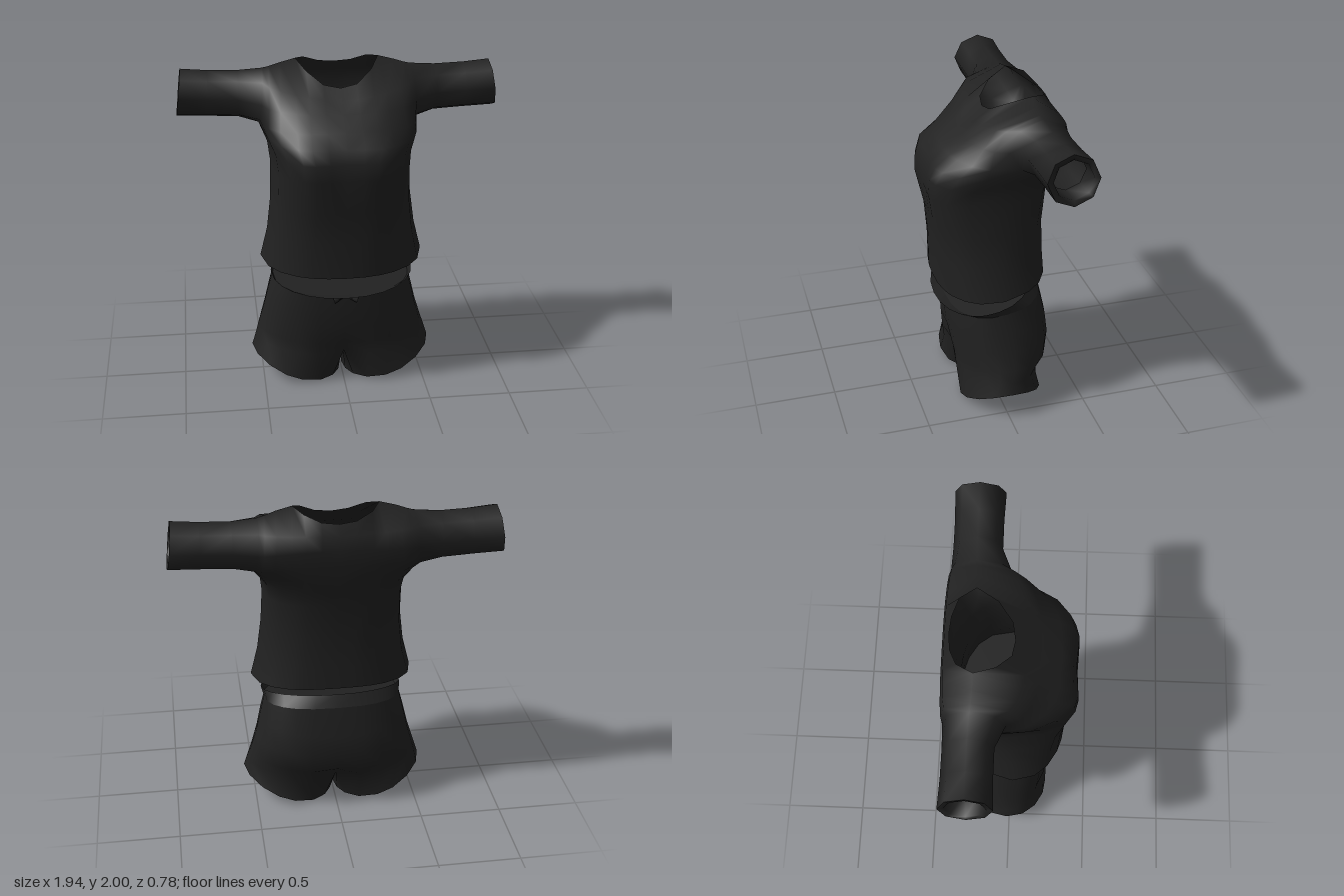
import * as THREE from 'three';
import { mergeGeometries, mergeVertices } from 'three/addons/utils/BufferGeometryUtils.js';

const fabric = new THREE.MeshStandardMaterial({ color: 0x212121, side: THREE.DoubleSide });
fabric.name = 'black fabric';

// Skin a list of point rows; closed rows join their last point to the first.
function skin(rows, closed, flip) {
  const n = rows[0].length, index = [];
  for (let i = 0; i < rows.length - 1; i++) {
    for (let j = 0; j < (closed ? n : n - 1); j++) {
      const k = (j + 1) % n;
      const a = i * n + j, b = i * n + k, c = a + n, d = b + n;
      if (flip) index.push(a, d, b, a, c, d);
      else index.push(a, b, d, a, d, c);
    }
  }
  const g = new THREE.BufferGeometry();
  g.setAttribute('position', new THREE.Float32BufferAttribute(rows.flat(2), 3));
  g.setIndex(index);
  return g;
}

// A surface and its mirror image across x = 0.
function pair(rows, closed, flip) {
  const mirrored = rows.map(r => r.map(([x, y, z]) => [-x, y, z]));
  return [skin(rows, closed, flip), skin(mirrored, closed, !flip)];
}

// Rows that close an outline onto one centre point.
const fan = (outline, centre) => [outline, outline.map(() => centre)];

function cloth(name, parts) {
  const g = mergeVertices(mergeGeometries(parts), 1e-4);
  g.computeVertexNormals();
  const mesh = new THREE.Mesh(g, fabric);
  mesh.name = name;
  return mesh;
}

// Shirt ------------------------------------------------------------------
const COLS = [0, 0.22, 0.42, 0.58, 0.78, 0.92, 1];
const hemY = z => 0.82 - 0.129 * z;

// Row: half width, centre y, edge y, centre z, edge z, squareness, bust bulge
function panel(rows, neck) {
  const pts = rows.map(([w, yc, ye, zc, ze, p, bulge = 0]) => COLS.map(t => [
    w * t,
    yc + (ye - yc) * t ** 1.6,
    ze + (zc - ze) * Math.sqrt(1 - t ** p) + bulge * Math.exp(-(((t - 0.42) / 0.22) ** 2)),
  ]));
  pts[0].forEach(p => { p[1] = hemY(p[2]); });
  pts.push(neck);
  return pts;
}

function shirt() {
  const shoulder = [[0.25, 2, -0.2], [0.345, 1.975, -0.2], [0.41, 1.953, -0.205], [0.45, 1.943, -0.21]];
  const front = panel([
    [0.5, 0.78, 0.82, 0.34, 0.02, 2.4],
    [0.455, 1.0, 1.0, 0.34, 0.02, 2.8],
    [0.43, 1.2, 1.2, 0.352, 0.005, 3.5],
    [0.423, 1.42, 1.42, 0.385, -0.05, 5, 0.012],
    [0.435, 1.52, 1.52, 0.375, -0.095, 5, 0.017],
    [0.48, 1.6, 1.61, 0.35, -0.19, 4.5, 0.015],
    [0.475, 1.68, 1.66, 0.285, -0.08, 3],
    [0.465, 1.75, 1.77, 0.17, -0.015, 2.5],
    [0.455, 1.815, 1.89, 0.09, -0.07, 2.5],
  ], [[0, 1.87, 0.02], [0.1, 1.888, 0.003], [0.195, 1.952, -0.08], ...shoulder]);
  const back = panel([
    [0.5, 0.86, 0.82, -0.32, 0.02, 3],
    [0.455, 1.0, 1.0, -0.315, 0.02, 3],
    [0.43, 1.2, 1.2, -0.31, 0.005, 3],
    [0.423, 1.42, 1.42, -0.33, -0.05, 3],
    [0.435, 1.52, 1.52, -0.352, -0.095, 3],
    [0.48, 1.6, 1.61, -0.37, -0.19, 3],
    [0.475, 1.69, 1.66, -0.38, -0.32, 3],
    [0.465, 1.79, 1.77, -0.39, -0.365, 3],
    [0.455, 1.87, 1.89, -0.375, -0.335, 3],
  ], [[0, 1.932, -0.345], [0.1, 1.942, -0.335], [0.195, 1.98, -0.295], ...shoulder]);

  // The armhole runs armpit, front, shoulder, back.
  const edge = r => r[r.length - 1];
  const armhole = [
    ...front.slice(5).map(edge),
    ...[8, 7, 6].map(i => edge(back[i])),
  ];
  const ring = (x, y, ry, rz, slant = 0) => armhole.map((_, i) => {
    const a = i * Math.PI / 4;
    return [x + slant * Math.cos(a), y - ry * Math.cos(a), -0.215 + rz * Math.sin(a)];
  });
  const tip = ring(0.955, 1.806, 0.146, 0.15, 0.017);
  const sleeve = [armhole, ring(0.6, 1.787, 0.145, 0.143), ring(0.78, 1.795, 0.143, 0.143), tip];
  const cuff = [tip, ring(0.95, 1.808, 0.112, 0.115, 0.014), ring(0.82, 1.8, 0.112, 0.115)];

  // Flat underside closing the hem
  const hem = [...front[0], ...back[0].slice(0, -1).reverse()];

  const group = new THREE.Group();
  group.name = 'shirt';
  group.add(
    cloth('shirtBodyAndSleeves', [
      ...pair(front, false, false), ...pair(back, false, true), ...pair(sleeve, true, true),
    ]),
    cloth('sleeveCuffs', pair(cuff, true, true)),
    cloth('shirtUnderside', pair(fan(hem, [0, hemY(0), 0]), false, true)),
  );
  return group;
}

// Shorts -----------------------------------------------------------------
const N = 24;
const signedPow = (v, e) => Math.sign(v) * Math.abs(v) ** e;

// Ring from front centre towards +x; a lower e is squarer, dent pulls in the centre seam.
function hipRing(w, zf, zb, yOf, e, dent = 0) {
  return Array.from({ length: N }, (_, i) => {
    const a = i / N * Math.PI * 2;
    const x = i % (N / 2) ? w * signedPow(Math.sin(a), e) : 0;
    const c = signedPow(Math.cos(a), e);
    let z = (zf + zb) / 2 + (zf - zb) / 2 * c;
    if (i % (N / 2) === 0) z -= Math.sign(c) * dent;
    return [x, yOf(x, z), z];
  });
}

function shorts() {
  const level = y => x => y + 0.14 * x * x;
  const waistY = (x, z) => 0.672 - 0.14 * z;
  const waist = hipRing(0.425, 0.27, -0.305, waistY, 0.8);
  const trunk = [
    waist,
    hipRing(0.455, 0.27, -0.345, level(0.53), 0.8),
    hipRing(0.485, 0.263, -0.36, level(0.4), 0.83, 0.01),
    hipRing(0.52, 0.255, -0.345, level(0.28), 0.88, 0.03),
    hipRing(0.545, 0.246, -0.285, level(0.2), 0.95, 0.06),
  ];

  // Each leg takes half of the lowest ring and closes it along the crotch.
  const legTop = [
    ...trunk[4].slice(0, N / 2 + 1),
    [0, 0.18, -0.12], [0, 0.19, -0.01], [0, 0.18, 0.1],
  ];
  // The hem rises to a point on the outer side.
  const hemRing = (inset, lift) => legTop.map((_, k) => {
    const deg = k <= N / 2 ? -50 + k * 280 / (N / 2) : 230 + (k - N / 2) * 20;
    const a = deg * Math.PI / 180;
    const s = signedPow(Math.sin(a), Math.sin(a) > 0 ? 1.2 : 0.85);
    const c = signedPow(Math.cos(a), 0.95);
    const x = 0.287 + 0.279 * s;
    return [x - inset * s, 0.003 + 0.172 * (x / 0.566) ** 2.4 + lift, -0.015 + (0.252 - inset) * c];
  });
  const hem = hemRing(0, 0);

  // The waistband flares out at the front and leans in at the back.
  const rim = hipRing(0.44, 0.335, -0.265, (x, z) => 0.722 - 0.245 * z, 0.95);

  const group = new THREE.Group();
  group.name = 'shorts';
  group.add(
    cloth('shortsBodyAndLegs', [skin(trunk, true, true), ...pair([legTop, hem], true, true)]),
    cloth('legHems', pair([hem, hemRing(0.025, 0.004), hemRing(0.03, 0.06)], true, true)),
    cloth('waistband', [skin([waist, rim], true, false)]),
    cloth('waistLining', [skin(fan(waist, [0, waistY(0, 0), 0]), true, false)]),
  );

  // Small drawstring bow
  for (const side of [-1, 1]) {
    const loop = new THREE.Mesh(new THREE.ConeGeometry(0.022, 0.075, 5), fabric);
    loop.name = 'bowLoop';
    loop.position.set(side * 0.036, 0.615, 0.28);
    loop.rotation.z = side * 1.25;
    group.add(loop);
  }
  return group;
}

export function createModel() {
  const model = new THREE.Group();
  model.name = 'outfit';
  model.add(shirt(), shorts());
  return model;
}
